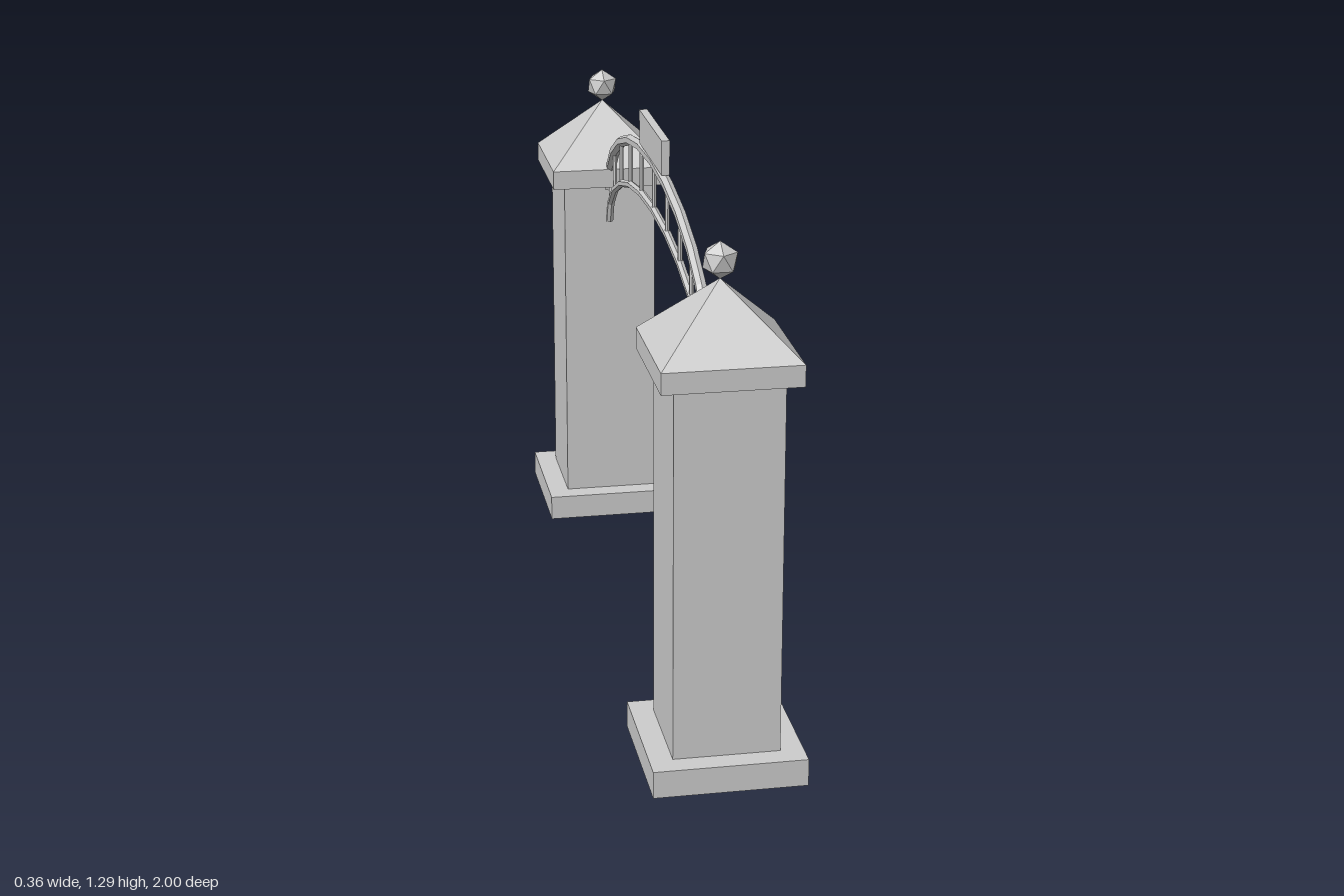
import * as THREE from 'three';

const stone = new THREE.MeshStandardMaterial({ color: 0xcccccc, flatShading: true });
stone.name = 'paleGrey';

function add(parent, name, geometry, x = 0, y = 0, z = 0) {
  const mesh = new THREE.Mesh(geometry, stone);
  mesh.name = name;
  mesh.position.set(x, y, z);
  parent.add(mesh);
  return mesh;
}

// Half ellipse in the yz plane, sampled at even angles
class ArchCurve extends THREE.Curve {
  constructor(halfSpan, footY, rise) {
    super();
    Object.assign(this, { halfSpan, footY, rise });
  }
  getPoint(t, target = new THREE.Vector3()) {
    const a = Math.PI * t;
    return target.set(0, this.footY + this.rise * Math.sin(a), this.halfSpan * Math.cos(a));
  }
  getPointAt(t, target) { return this.getPoint(t, target); }
  getTangentAt(t, target = new THREE.Vector3()) {
    const a = Math.PI * t;
    return target.set(0, this.rise * Math.cos(a), -this.halfSpan * Math.sin(a)).normalize();
  }
}

function makePillar() {
  const pillar = new THREE.Group();
  pillar.name = 'pillar';
  add(pillar, 'plinth', new THREE.BoxGeometry(0.356, 0.065, 0.356), 0, 0.0325);
  add(pillar, 'shaft', new THREE.BoxGeometry(0.248, 0.885, 0.248), 0, 0.5075);
  add(pillar, 'capSlab', new THREE.BoxGeometry(0.316, 0.05, 0.316), 0, 0.975);
  const roof = new THREE.ConeGeometry(0.158 * Math.SQRT2, 0.155, 4, 1, true).rotateY(Math.PI / 4);
  add(pillar, 'capPyramid', roof, 0, 1.0775);
  // Faceted ball standing on one of its corners
  const ball = new THREE.IcosahedronGeometry(0.043, 0);
  ball.rotateX(-Math.atan((1 + Math.sqrt(5)) / 2));
  add(pillar, 'finialBall', ball, 0, 1.196);
  return pillar;
}

function addRail(parent, name, curve, radius) {
  add(parent, name, new THREE.TubeGeometry(curve, 12, radius, 6, false));
  for (const side of [-1, 1]) {
    const end = new THREE.CircleGeometry(radius, 6).rotateX(Math.PI / 2);
    add(parent, name + 'End', end, 0, curve.footY, side * curve.halfSpan);
  }
}

export function createModel() {
  const model = new THREE.Group();
  model.name = 'gateway';

  // Two matching pillars
  for (const side of [1, -1]) {
    const pillar = makePillar();
    pillar.position.z = side * 0.822;
    model.add(pillar);
  }

  // Arch of two rails joined by upright bars
  const arch = new THREE.Group();
  arch.name = 'arch';
  model.add(arch);
  const upper = new ArchCurve(0.7, 0.935, 0.263);
  const lower = new ArchCurve(0.7, 0.845, 0.23);
  addRail(arch, 'upperRail', upper, 0.014);
  addRail(arch, 'lowerRail', lower, 0.01);
  for (let i = 1; i < 12; i++) {
    const top = upper.getPoint(i / 12), bottom = lower.getPoint(i / 12);
    const bar = new THREE.CylinderGeometry(0.006, 0.006, top.y - bottom.y, 6);
    add(arch, 'archBar', bar, 0, (top.y + bottom.y) / 2, top.z);
  }

  // Blank sign on the crown of the arch, with a raised panel
  add(model, 'signBoard', new THREE.BoxGeometry(0.02, 0.085, 0.315), 0, 1.2475, 0);
  add(model, 'signPanel', new THREE.BoxGeometry(0.006, 0.04, 0.26), 0.012, 1.246, 0);

  return model;
}
